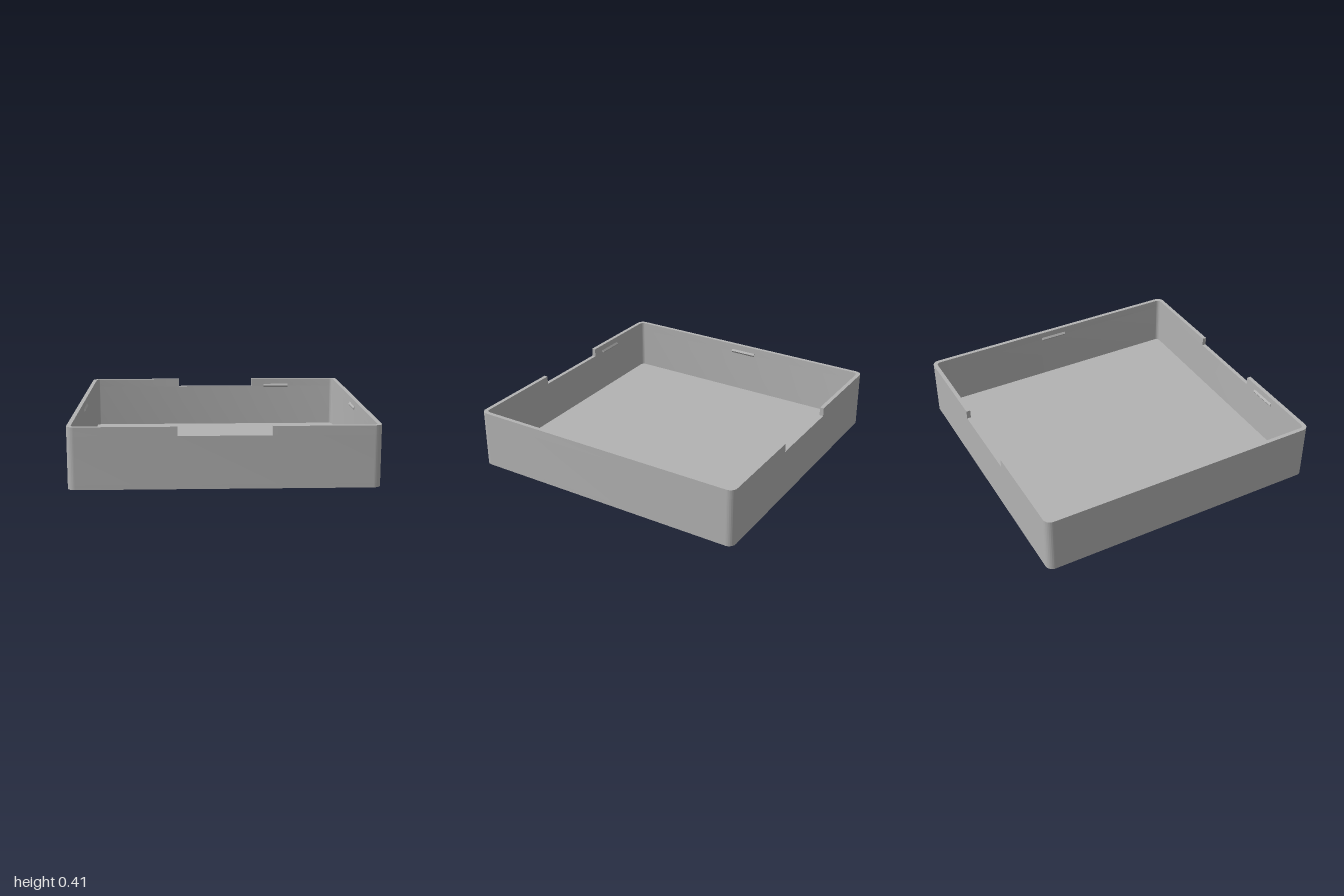
import * as THREE from 'three';
import { toCreasedNormals } from 'three/addons/utils/BufferGeometryUtils.js';

const HALF = 1, WALL = 0.028, RADIUS = 0.05;
const INNER = HALF - WALL, INNER_RADIUS = 0.03;
const HEIGHT = 0.405, NOTCH_Y = 0.345, NOTCH_X = 0.3, FLOOR = 0.03;

// Rounded square traced counter-clockwise
function roundedSquare(path, h, r) {
  path.moveTo(h, -h + r);
  path.lineTo(h, h - r);
  path.absarc(h - r, h - r, r, 0, Math.PI / 2);
  path.lineTo(-h + r, h);
  path.absarc(-h + r, h - r, r, Math.PI / 2, Math.PI);
  path.lineTo(-h, -h + r);
  path.absarc(-h + r, -h + r, r, Math.PI, Math.PI * 1.5);
  path.lineTo(h - r, -h);
  path.absarc(h - r, -h + r, r, Math.PI * 1.5, Math.PI * 2);
  return path;
}

// Extrude a plan outline upward between two heights
function slab(shape, y0, y1) {
  const g = new THREE.ExtrudeGeometry(shape, { depth: y1 - y0, bevelEnabled: false, curveSegments: 10 });
  g.rotateX(-Math.PI / 2);
  g.translate(0, y0, 0);
  return toCreasedNormals(g, 0.5);
}

export function createModel() {
  const model = new THREE.Group();
  model.name = 'tray';
  const grey = new THREE.MeshStandardMaterial({ color: 0xb2b2b2 });
  grey.name = 'grey plastic';
  const add = (name, geometry) => {
    const mesh = new THREE.Mesh(geometry, grey);
    mesh.name = name;
    model.add(mesh);
    return mesh;
  };

  // Floor plate and continuous lower wall
  add('floor', slab(roundedSquare(new THREE.Shape(), HALF, RADIUS), 0, FLOOR));
  const ring = roundedSquare(new THREE.Shape(), HALF, RADIUS);
  ring.holes.push(roundedSquare(new THREE.Path(), INNER, INNER_RADIUS));
  add('lowerWall', slab(ring, FLOOR, NOTCH_Y));

  // Upper rim: two C-shaped halves that leave a notch at front and back
  const rim = new THREE.Shape();
  const o = HALF - RADIUS, i = INNER - INNER_RADIUS;
  rim.moveTo(NOTCH_X, -HALF);
  rim.lineTo(o, -HALF);
  rim.absarc(o, -o, RADIUS, -Math.PI / 2, 0);
  rim.lineTo(HALF, o);
  rim.absarc(o, o, RADIUS, 0, Math.PI / 2);
  rim.lineTo(NOTCH_X, HALF);
  rim.lineTo(NOTCH_X, INNER);
  rim.lineTo(i, INNER);
  rim.absarc(i, i, INNER_RADIUS, Math.PI / 2, 0, true);
  rim.lineTo(INNER, -i);
  rim.absarc(i, -i, INNER_RADIUS, 0, -Math.PI / 2, true);
  rim.lineTo(NOTCH_X, -INNER);
  rim.closePath();
  const rimGeometry = slab(rim, NOTCH_Y, HEIGHT);
  add('leftRim', rimGeometry);
  add('rightRim', rimGeometry).rotation.y = Math.PI;

  // Small wedge-shaped snap ridges, one inside each wall
  const wedge = new THREE.Shape();
  wedge.moveTo(0, -0.014);
  wedge.lineTo(0.01, 0);
  wedge.lineTo(0, 0.014);
  wedge.closePath();
  const ridges = [
    ['rightRidge', 0, 0],
    ['leftRidge', Math.PI, 0],
    ['backRidge', -Math.PI / 2, -0.5],
    ['frontRidge', Math.PI / 2, -0.5],
  ];
  for (const [name, angle, along] of ridges) {
    const g = new THREE.ExtrudeGeometry(wedge, { depth: 0.2, bevelEnabled: false });
    g.translate(-INNER, 0.348, along - 0.1);
    add(name, g).rotation.y = angle;
  }
  return model;
}
